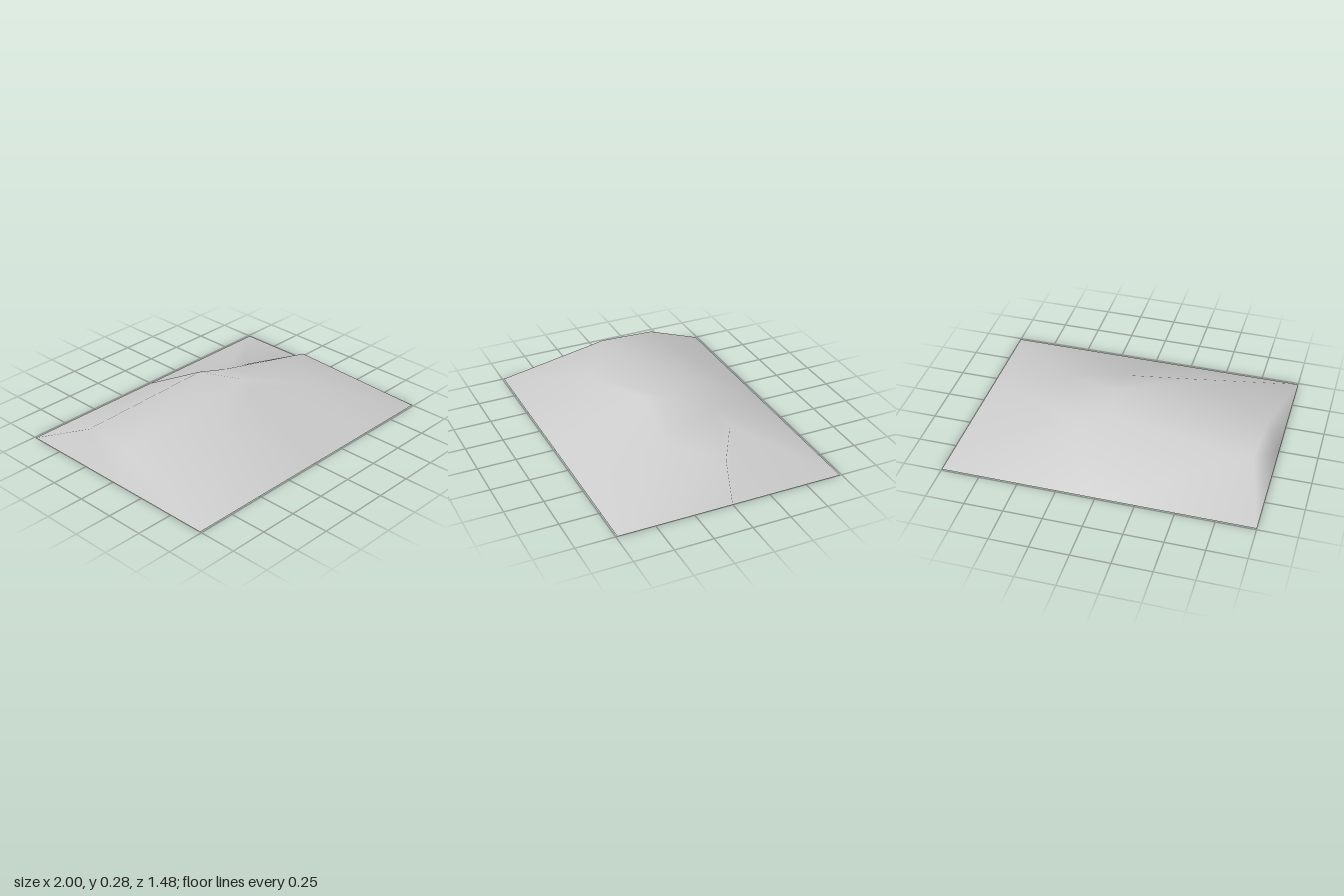
import * as THREE from 'three';

export function createModel() {
  const group = new THREE.Group();
  const stone = new THREE.MeshStandardMaterial({ color: 0xcccccc, side: THREE.DoubleSide });
  stone.name = 'pale grey stone';

  // Named points of the mound: ground border first, then the raised ones
  const points = {
    frontLeft: [1, 0, 0.74], frontRight: [-1, 0, 0.74],
    backLeft: [1, 0, -0.74], backRight: [-1, 0, -0.74],
    front: [0, 0, 0.74], toe: [0.5, 0, 0.74], back: [0, 0, -0.74],
    sideLeft: [1, 0, 0], sideRight: [-1, 0, 0],
    peak: [0.05, 0.28, 0.16], crown: [0.11, 0.27, 0], rear: [0, 0.268, -0.26],
    shoulder: [-0.4, 0.215, 0.33], cliff: [-0.91, 0.188, 0.03], cliffRear: [-0.89, 0.188, -0.33],
    saddle: [0.25, 0.19, -0.265], hollow: [0.42, 0.15, -0.28],
    spur: [0.8, 0.175, -0.055], ledge: [0.47, 0.177, 0.2],
  };
  const names = Object.keys(points);

  // Facets, counter-clockwise seen from above
  const facets = [
    'sideRight frontRight cliff', 'sideRight cliff cliffRear', 'sideRight cliffRear backRight',
    'frontRight shoulder cliff', 'frontRight front shoulder', 'shoulder front peak',
    'front toe peak', 'toe ledge peak', 'toe frontLeft ledge', 'peak ledge crown',
    'frontLeft spur ledge', 'frontLeft sideLeft spur', 'spur saddle ledge', 'crown ledge saddle',
    'sideLeft hollow spur', 'spur hollow saddle', 'sideLeft backLeft hollow', 'backLeft saddle hollow',
    'saddle backLeft back', 'rear saddle back', 'crown saddle rear',
    'rear back cliffRear', 'cliffRear back backRight',
    'cliff shoulder crown', 'shoulder peak crown', 'cliff crown rear', 'cliff rear cliffRear',
  ];
  const index = facets.flatMap((facet) => facet.split(' ').map((name) => names.indexOf(name)));

  // One smooth open sheet
  const geometry = new THREE.BufferGeometry();
  geometry.setAttribute('position', new THREE.Float32BufferAttribute(Object.values(points).flat(), 3));
  geometry.setIndex(index);
  geometry.computeVertexNormals();

  const mound = new THREE.Mesh(geometry, stone);
  mound.name = 'mound';
  group.add(mound);
  return group;
}
